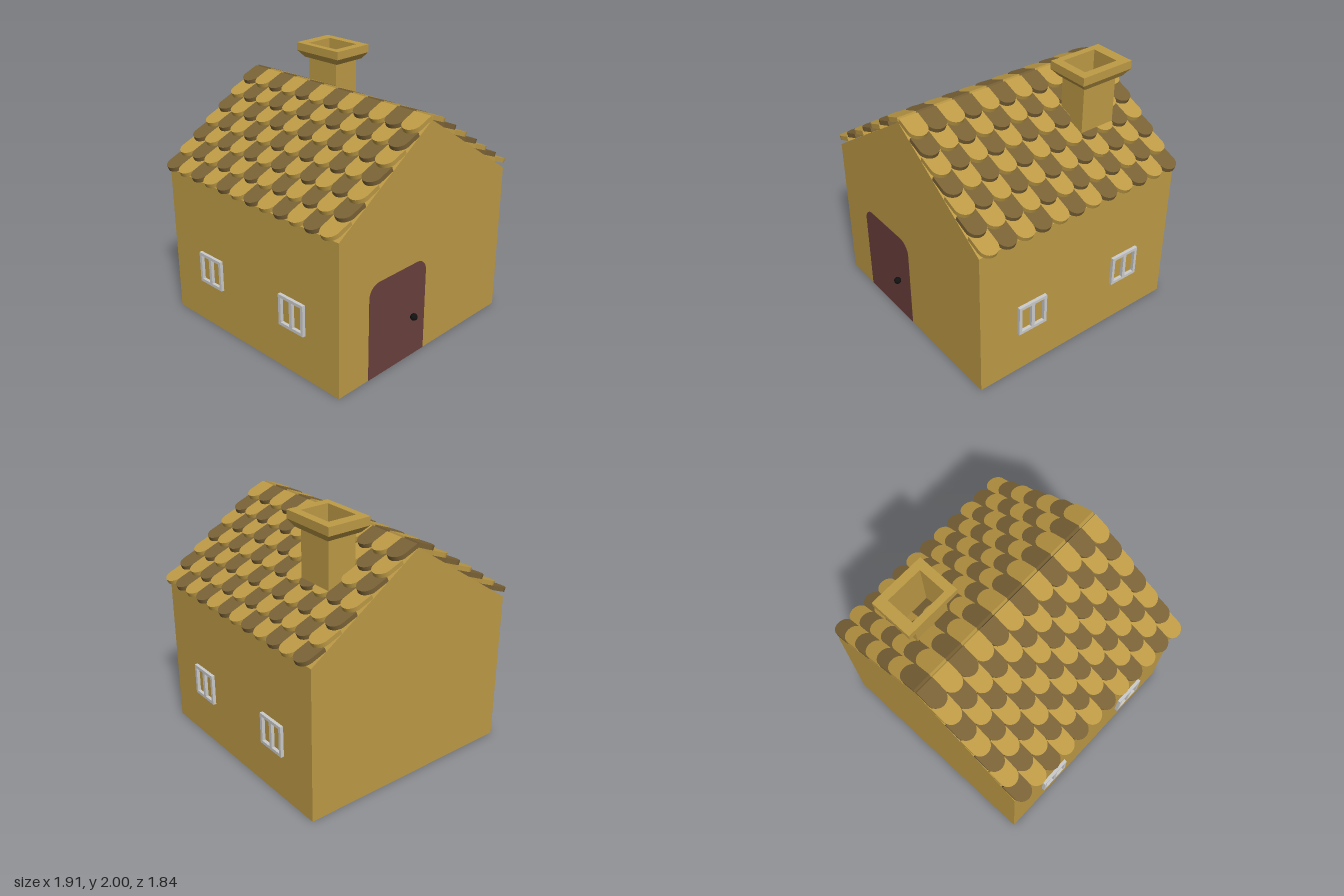
import * as THREE from 'three';

const mat = (color, extra = {}) => new THREE.MeshStandardMaterial({ color, ...extra });
const wallMat = mat(0xbd9a45);
const darkMat = mat(0x7a6236);
const doorMat = mat(0x6b403d);
const knobMat = mat(0x111111);
const frameMat = mat(0xcccccc);
const chimneyMat = mat(0xbd9a45, { side: THREE.DoubleSide, flatShading: true });

const HALF = 0.89, EAVE = 1.19, RIDGE = 1.79, FRONT = 0.868, BACK = -0.915;

function add(parent, name, geometry, material, x = 0, y = 0, z = 0) {
  const mesh = new THREE.Mesh(geometry, material);
  mesh.name = name;
  mesh.position.set(x, y, z);
  parent.add(mesh);
  return mesh;
}

function extrude(shape, depth, curveSegments = 12) {
  return new THREE.ExtrudeGeometry(shape, { depth, bevelEnabled: false, curveSegments });
}

function polygon(points) {
  return new THREE.Shape(points.map(([x, y]) => new THREE.Vector2(x, y)));
}

// Flat roof tile with a round lower end, tilted down towards +x
function tileGeometry(width, length, thickness, tilt) {
  const r = width / 2;
  const s = new THREE.Shape();
  s.moveTo(0, -r);
  s.lineTo(length - r, -r);
  s.absarc(length - r, 0, r, -Math.PI / 2, Math.PI / 2, false);
  s.lineTo(0, r);
  s.closePath();
  return extrude(s, thickness, 16).rotateX(-Math.PI / 2).rotateZ(-tilt);
}

function createRoof() {
  const roof = new THREE.Group();
  roof.name = 'roofTiles';
  const columns = 12, rows = 7;
  const width = (FRONT - BACK) / columns;
  const geometry = tileGeometry(width, 0.19, 0.034, 0.375);
  for (const side of [1, -1]) {
    for (let row = 0; row < rows; row++) {
      for (let col = 0; col < columns; col++) {
        const tile = add(roof, 'roofTile', geometry, (row + col) % 2 ? darkMat : wallMat,
          side * row * 0.128, RIDGE - row * 0.0857, FRONT - (col + 0.5) * width);
        if (side < 0) tile.rotation.y = Math.PI;
      }
    }
  }
  return roof;
}

// Skin between successive rectangles [x0, x1, z0, z1, y]
function rectangleLoft(rings) {
  const positions = [], index = [];
  for (const [x0, x1, z0, z1, y] of rings) {
    positions.push(x0, y, z1, x1, y, z1, x1, y, z0, x0, y, z0);
  }
  for (let i = 0; i < rings.length - 1; i++) {
    for (let j = 0; j < 4; j++) {
      const a = i * 4 + j, b = i * 4 + (j + 1) % 4;
      index.push(a, b, b + 4, a, b + 4, a + 4);
    }
  }
  const g = new THREE.BufferGeometry();
  g.setAttribute('position', new THREE.Float32BufferAttribute(positions, 3));
  g.setIndex(index);
  const flat = g.toNonIndexed();
  flat.computeVertexNormals();
  return flat;
}

// Two-pane frame: a rectangle with two holes
function windowGeometry() {
  const w = 0.124, h = 0.123, bar = 0.024, mid = 0.014;
  const s = polygon([[-w, -h], [w, -h], [w, h], [-w, h]]);
  for (const [a, b] of [[-w + bar, -mid], [mid, w - bar]]) {
    s.holes.push(polygon([[a, -h + bar], [a, h - bar], [b, h - bar], [b, -h + bar]]));
  }
  return extrude(s, 0.025);
}

export function createModel() {
  const house = new THREE.Group();
  house.name = 'house';

  // Gabled body
  const gable = polygon([[-HALF, 0], [HALF, 0], [HALF, EAVE], [0, RIDGE], [-HALF, EAVE]]);
  add(house, 'walls', extrude(gable, FRONT - BACK), wallMat, 0, 0, BACK);

  house.add(createRoof());

  // Door with rounded top corners, and its knob
  const door = new THREE.Shape();
  const r = 0.1, top = 0.757;
  door.moveTo(-0.597, 0);
  door.lineTo(0, 0);
  door.lineTo(0, top - r);
  door.absarc(-r, top - r, r, 0, Math.PI / 2, false);
  door.absarc(-0.597 + r, top - r, r, Math.PI / 2, Math.PI, false);
  door.closePath();
  add(house, 'door', extrude(door, 0.012), doorMat, 0, 0, FRONT - 0.01);
  add(house, 'doorKnob', new THREE.SphereGeometry(0.027, 24, 16), knobMat, -0.145, 0.335, 0.893);

  // Window frames, two on each side wall
  const frame = windowGeometry();
  for (const side of [1, -1]) {
    for (const z of [0.421, -0.468]) {
      add(house, 'windowFrame', frame, frameMat, side * HALF, 0.482, z).rotation.y = side * Math.PI / 2;
    }
  }

  // Hollow chimney with a flared cap
  const shaft = [0.29, 0.517, -0.62, -0.323];
  add(house, 'chimney', rectangleLoft([
    [...shaft, 1.42],
    [...shaft, 1.885],
    [0.275, 0.55, -0.655, -0.3, 1.885],
    [0.238, 0.582, -0.704, -0.254, 1.937],
    [0.238, 0.582, -0.704, -0.254, 2],
    [...shaft, 2],
    [...shaft, 1.885],
  ]), chimneyMat);

  return house;
}
